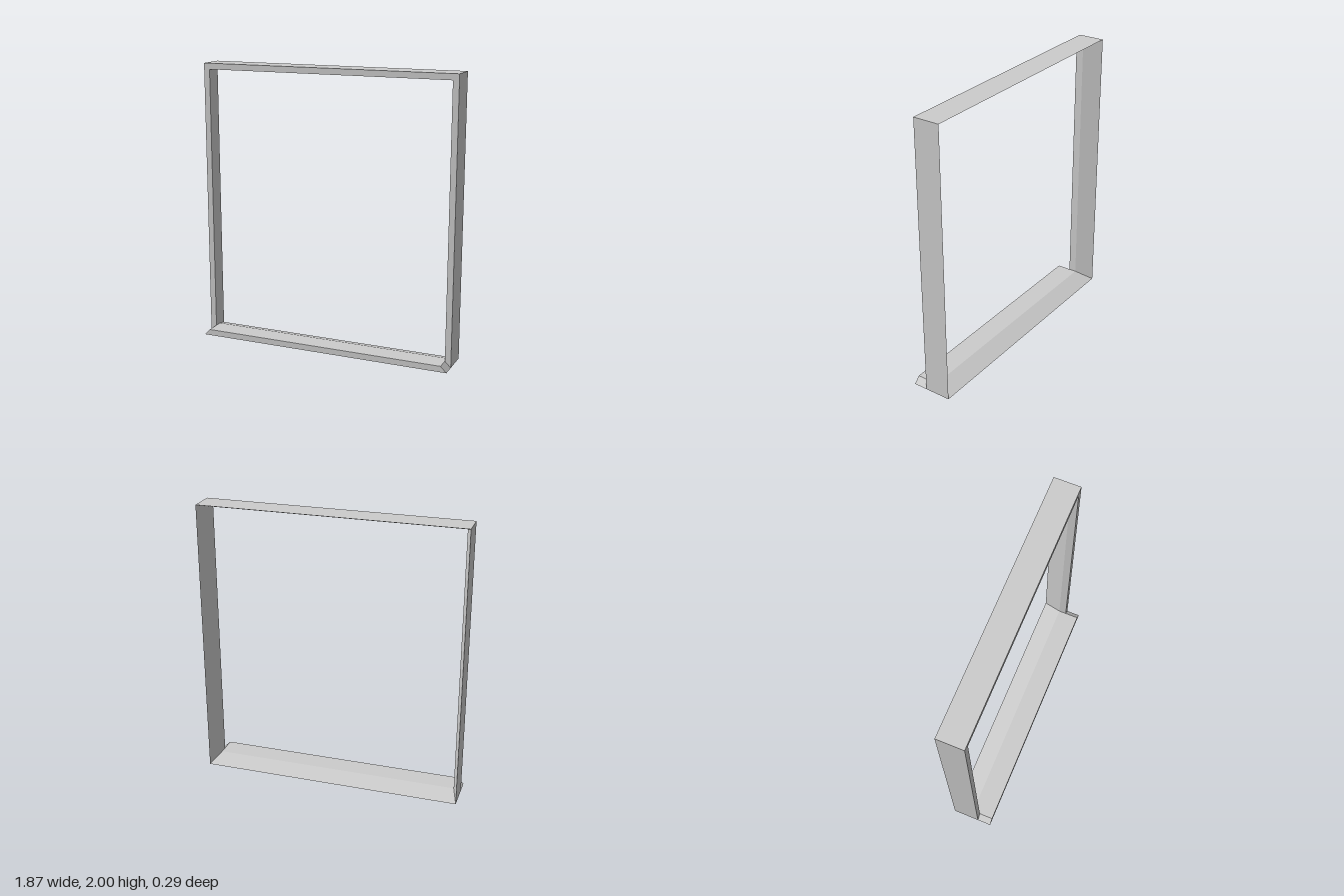
import * as THREE from 'three';

const HALF_W = 0.935, HEIGHT = 2, FACE = 0.043;   // outer size and visible face width
const BACK = -0.145, LIP = -0.01, FRONT = 0.045, SILL_FRONT = 0.145;

const material = new THREE.MeshStandardMaterial({ color: 0xcccccc, flatShading: true });

// Mitred bar lying along x: outer edge on y = 0, inner edge shorter by the face width,
// its inner side splayed from the lip out to a thin edge at the back.
function mitredBar(name, halfLength, front) {
  const geometry = new THREE.BoxGeometry(2, 2, 2);
  const p = geometry.attributes.position;
  for (let i = 0; i < p.count; i++) {
    const inner = p.getY(i) > 0;
    const inset = inner ? FACE : 0;
    const back = inner ? LIP : BACK;
    p.setXYZ(i, p.getX(i) * (halfLength - inset), inset, p.getZ(i) > 0 ? front : back);
  }
  geometry.computeVertexNormals();
  const mesh = new THREE.Mesh(geometry, material);
  mesh.name = name;
  return mesh;
}

export function createModel() {
  const group = new THREE.Group();
  group.name = 'windowFrame';

  // Sill: bottom bar running further forward than the rest
  group.add(mitredBar('sill', HALF_W, SILL_FRONT));

  // Top rail
  const top = mitredBar('topRail', HALF_W, FRONT);
  top.rotation.z = Math.PI;
  top.position.y = HEIGHT;
  group.add(top);

  // Side jambs
  for (const side of [-1, 1]) {
    const jamb = mitredBar(side > 0 ? 'leftJamb' : 'rightJamb', HEIGHT / 2, FRONT);
    jamb.rotation.z = side * Math.PI / 2;
    jamb.position.set(side * HALF_W, HEIGHT / 2, 0);
    group.add(jamb);
  }
  return group;
}
